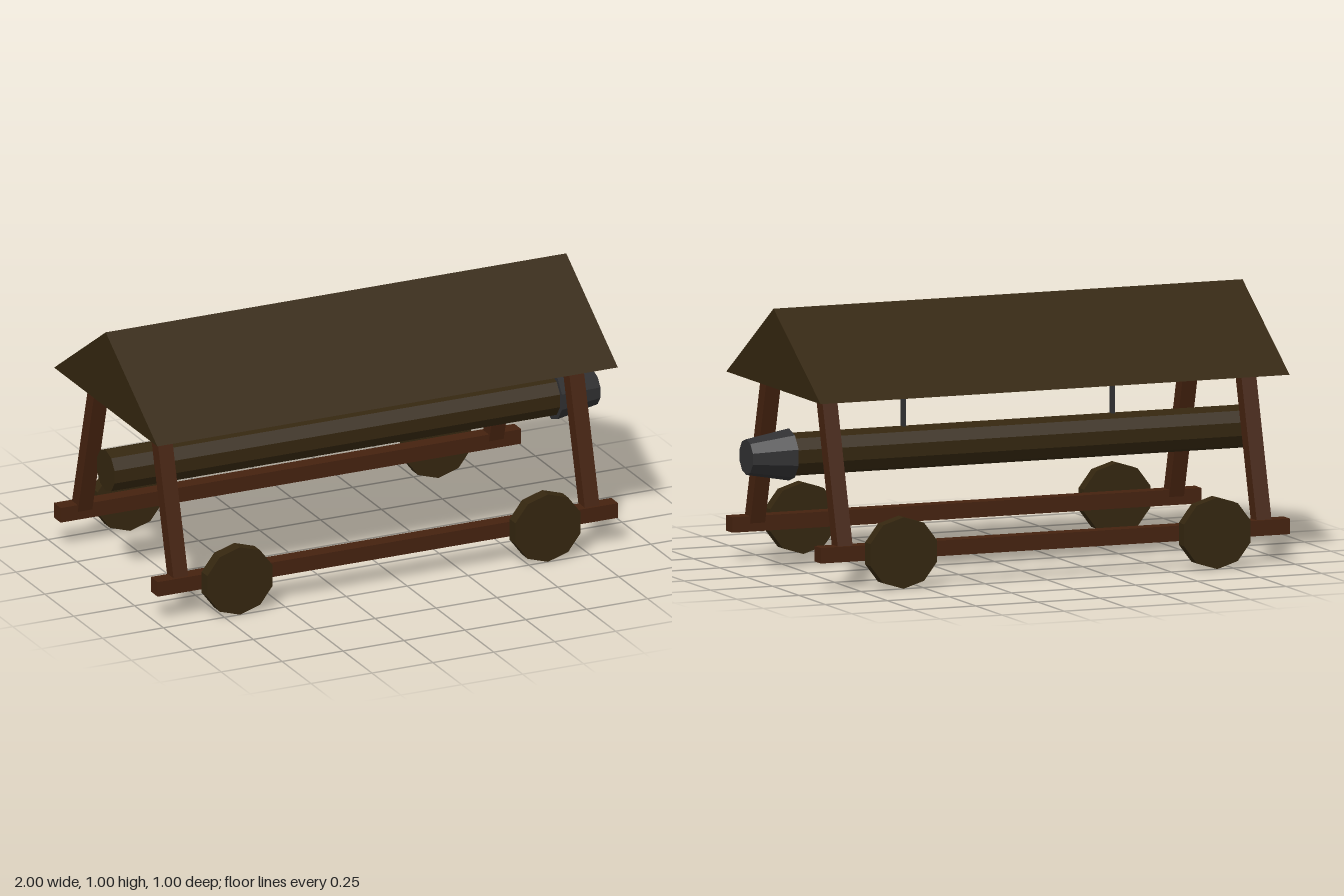
import * as THREE from 'three';

export function createModel() {
  const model = new THREE.Group();
  model.name = 'batteringRam';

  const material = (name, color) => {
    const m = new THREE.MeshStandardMaterial({ color, flatShading: true });
    m.name = name;
    return m;
  };
  const oldWood = material('oldWood', 0x34260f);
  const beamWood = material('beamWood', 0x45220f);
  const iron = material('iron', 0x303032);

  const add = (name, geometry, mat, x = 0, y = 0, z = 0) => {
    const mesh = new THREE.Mesh(geometry, mat);
    mesh.name = name;
    mesh.position.set(x, y, z);
    model.add(mesh);
    return mesh;
  };

  const SIDES = 10;
  const back = -1, front = 0.89;      // ends of the frame along x
  const length = front - back, middle = (front + back) / 2;

  // Solid gabled roof, extruded along x
  const gable = new THREE.Shape([
    new THREE.Vector2(-0.447, 0.703),
    new THREE.Vector2(0.447, 0.703),
    new THREE.Vector2(0, 1),
  ]);
  const roof = new THREE.ExtrudeGeometry(gable, { depth: length, bevelEnabled: false });
  roof.rotateY(Math.PI / 2);
  add('roof', roof, oldWood, back);

  // Decagonal prism lying along x, with a corner at the top
  const lying = (rFront, rBack, len) =>
    new THREE.CylinderGeometry(rFront, rBack, len, SIDES).rotateY(Math.PI / 2).rotateZ(-Math.PI / 2);

  // Swinging log and its tapered head
  add('ramLog', lying(0.081, 0.081, 1.86), oldWood, -0.07, 0.45, 0);
  add('ramHead', lying(0.067, 0.098, 0.172), iron, 0.914, 0.45, 0);

  // Hangers between the roof and the log
  for (const x of [-0.475, 0.367]) {
    add('hanger', new THREE.BoxGeometry(0.015, 0.22, 0.015), iron, x, 0.61, 0);
  }

  // Each side has a rail, two leaning posts and two wheels
  const lean = Math.atan2(0.157, 0.564);
  for (const side of [1, -1]) {
    add('rail', new THREE.BoxGeometry(length, 0.058, 0.06), beamWood, middle, 0.135, side * 0.42);

    for (const x of [-0.9, 0.788]) {
      const post = add('post', new THREE.BoxGeometry(0.06, 0.61, 0.055), beamWood, x, 0.437, side * 0.335);
      post.rotation.x = -side * lean;
    }

    for (const x of [-0.686, 0.578]) {
      const wheel = new THREE.CylinderGeometry(0.134, 0.134, 0.05, SIDES).rotateX(Math.PI / 2);
      wheel.scale(1.05, 1, 1);
      add('wheel', wheel, oldWood, x, 0.134, side * 0.475);
    }
  }

  return model;
}
